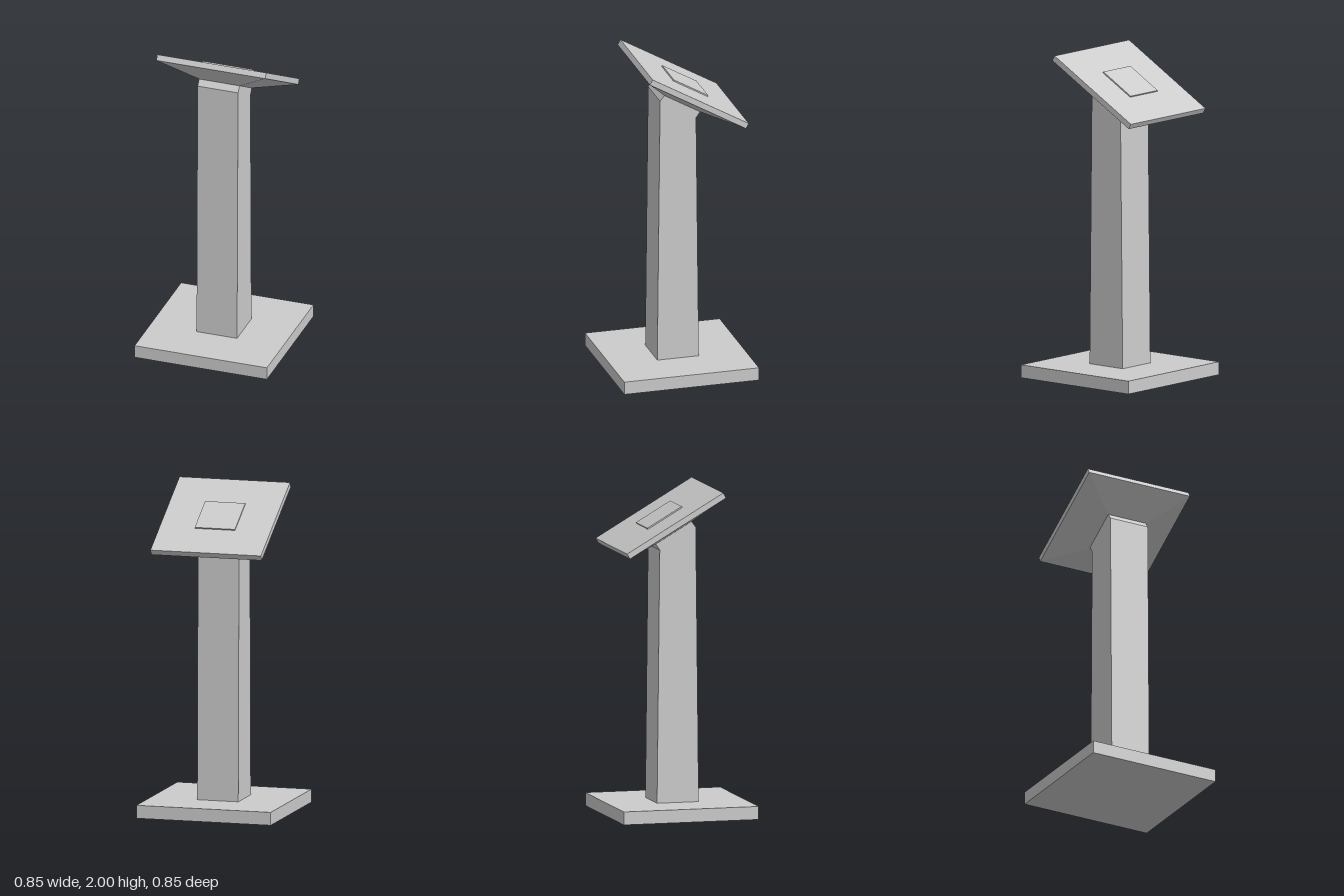
import * as THREE from 'three';

// Rectangle section: half width, then front and back edges as [y, z]
const section = (hw, [fy, fz], [by, bz]) => [
  [-hw, fy, fz], [hw, fy, fz], [hw, by, bz], [-hw, by, bz],
];

// Closed, flat-faced solid through four-cornered sections listed bottom to top
function loft(sections) {
  const pos = [];
  const quad = (a, b, c, d) => pos.push(...a, ...b, ...c, ...a, ...c, ...d);
  for (let s = 0; s < sections.length - 1; s++) {
    const lo = sections[s], hi = sections[s + 1];
    for (let i = 0; i < 4; i++) {
      const j = (i + 1) % 4;
      quad(lo[i], lo[j], hi[j], hi[i]);
    }
  }
  const first = sections[0], last = sections[sections.length - 1];
  quad(first[3], first[2], first[1], first[0]);
  quad(...last);
  const g = new THREE.BufferGeometry();
  g.setAttribute('position', new THREE.Float32BufferAttribute(pos, 3));
  g.computeVertexNormals();
  return g;
}

export function createModel() {
  const model = new THREE.Group();
  model.name = 'lectern';
  const grey = new THREE.MeshStandardMaterial({ color: 0xcccccc });
  grey.name = 'light grey';

  const add = (parent, name, geometry, y = 0) => {
    const mesh = new THREE.Mesh(geometry, grey);
    mesh.name = name;
    mesh.position.y = y;
    parent.add(mesh);
  };

  // Square foot
  add(model, 'base', new THREE.BoxGeometry(0.85, 0.08, 0.85), 0.04);

  // Tapering post whose neck bends to meet the tilted desk
  add(model, 'post', loft([
    section(0.13, [0.08, 0.131], [0.08, -0.131]),
    section(0.13, [1.763, 0.113], [1.63, -0.114]),
    section(0.13, [1.798, 0.086], [1.668, -0.14]),
  ]));

  // Tilted head, with its origin at the centre of the desk surface
  const head = new THREE.Group();
  head.name = 'head';
  head.position.set(0, 1.8225, -0.0795);
  head.rotation.x = -Math.PI / 6;
  model.add(head);

  add(head, 'desk', new THREE.BoxGeometry(0.7, 0.036, 0.7), -0.018);

  // Flared support between neck and desk
  add(head, 'flare', loft([
    section(0.13, [-0.104, 0.13], [-0.104, -0.13]),
    section(0.35, [-0.036, 0.35], [-0.036, -0.35]),
  ]));

  // Thin raised plate on the desk
  add(head, 'plate', new THREE.BoxGeometry(0.254, 0.008, 0.25), 0.004);

  return model;
}
